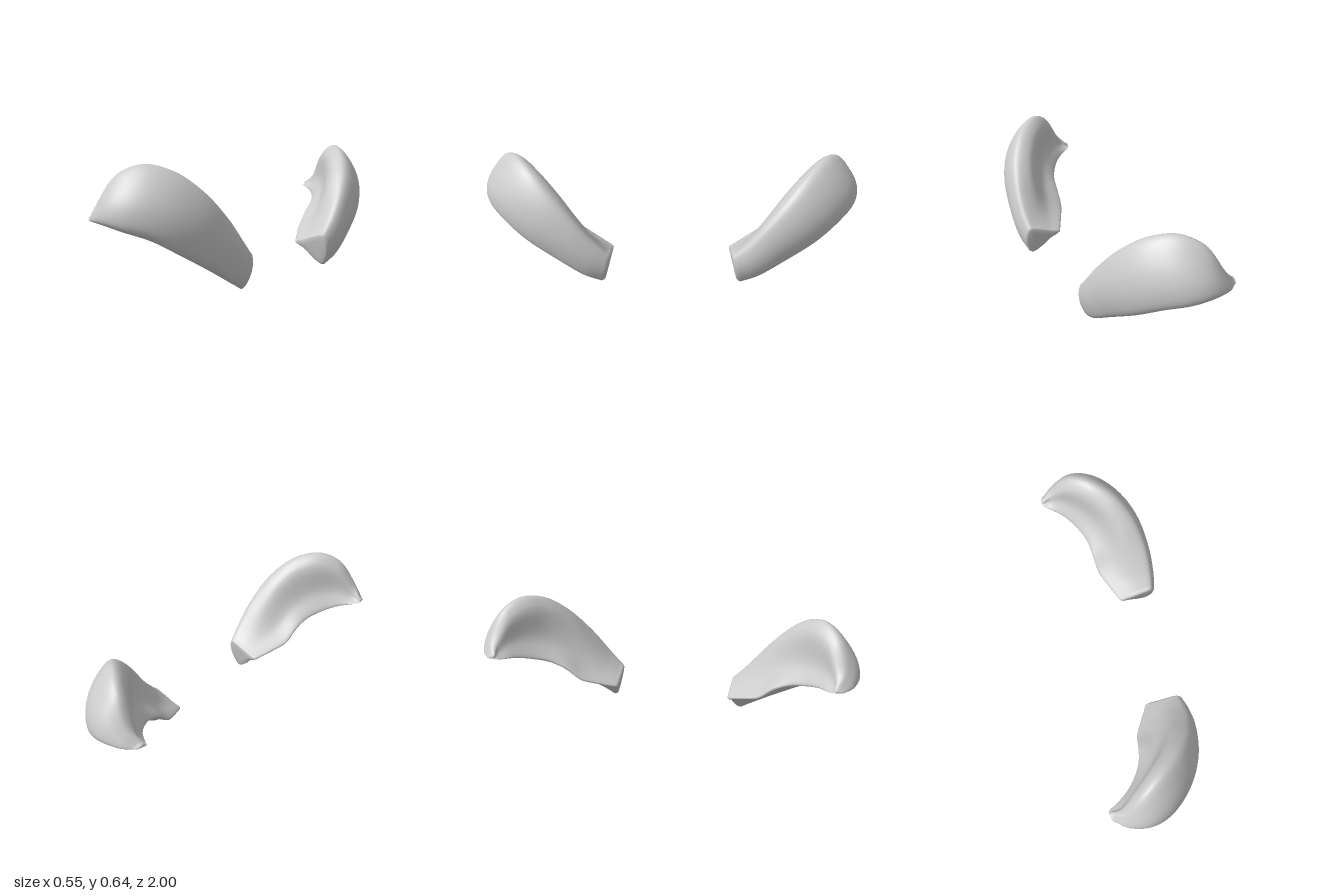
import * as THREE from 'three';

const V = (p) => new THREE.Vector3(...p);

// Guide edges running from the pointed tip to the blunt end
const outerEdge = [[-0.25, 0.372, 0.935], [-0.2, 0.375, 0.974], [-0.1, 0.375, 0.997], [0, 0.352, 0.97],
  [0.1, 0.308, 0.885], [0.17, 0.23, 0.765], [0.214, 0.132, 0.6], [0.23, 0.045, 0.46], [0.213, -0.002, 0.372]].map(V);
const crest = [[-0.257, 0.392, 0.902], [-0.2, 0.45, 0.925], [-0.11, 0.588, 0.885], [-0.01, 0.636, 0.815],
  [0.1, 0.602, 0.725], [0.187, 0.505, 0.62], [0.233, 0.37, 0.5], [0.242, 0.25, 0.4], [0.24, 0.18, 0.335]].map(V);
const innerEdge = [[-0.263, 0.37, 0.87], [-0.232, 0.36, 0.85], [-0.17, 0.345, 0.805], [-0.11, 0.32, 0.735],
  [-0.065, 0.29, 0.65], [-0.048, 0.25, 0.57], [-0.034, 0.185, 0.49], [0, 0.156, 0.42], [0.05, 0.122, 0.328]].map(V);

const STEPS = 64, SIDES = 54;

// Rounded wedge section: bulged outer wall, thick round crest, hollow inner face that flattens
// towards the blunt end (u = 1), rounded underside with a thin inner lip
function section(a, b, c, u) {
  const out = b.clone().sub(c).setY(0).normalize();
  const bulge = a.distanceTo(b) * 0.155;
  const wall = (t) => a.clone().lerp(b, t).addScaledVector(out, bulge);
  const inner = (t, sink) => b.clone().lerp(c, t).lerp(a, sink);
  const under = (t, sink) => c.clone().lerp(a, t).lerp(b, -sink);
  const flat = THREE.MathUtils.smoothstep(u, 0.6, 1);
  const loop = [a, wall(0.3), wall(0.7), b,
    inner(0.27, THREE.MathUtils.lerp(-0.16, -0.04, flat)), inner(0.67, THREE.MathUtils.lerp(0.04, -0.02, flat)),
    c, under(0.33, -0.02), under(0.68, 0.05)];
  const curve = new THREE.CatmullRomCurve3(loop, true, 'centripetal');
  return Array.from({ length: SIDES }, (_, j) => curve.getPoint(j / SIDES));
}

// Shrink a ring towards its middle to close an end, pushed out slightly
function shrink(ring, k, push) {
  const mid = ring.reduce((s, p) => s.add(p), new THREE.Vector3()).divideScalar(ring.length);
  return ring.map((p) => p.clone().lerp(mid, 1 - k).add(push));
}

function wedgeGeometry(side) {
  const curves = [outerEdge, crest, innerEdge].map((p) => new THREE.CatmullRomCurve3(p, false, 'centripetal'));
  const rings = [];
  for (let i = 0; i <= STEPS; i++) rings.push(section(...curves.map((c) => c.getPoint(i / STEPS)), i / STEPS));
  const first = rings[0], last = rings[STEPS];
  const tipPush = V([-0.012, 0, 0]), endPush = V([0, -0.003, -0.018]);
  rings.unshift(shrink(first, 0, tipPush), shrink(first, 0.5, tipPush), shrink(first, 0.85, V([-0.008, 0, 0])));
  rings.push(shrink(last, 0.95, endPush.clone().multiplyScalar(0.6)), shrink(last, 0.85, endPush),
    shrink(last, 0.45, endPush), shrink(last, 0, endPush));

  const pos = [], index = [];
  rings.forEach((ring) => ring.forEach((p) => pos.push(p.x, p.y, p.z * side)));
  for (let i = 0; i < rings.length - 1; i++) {
    for (let j = 0; j < SIDES; j++) {
      const k = (j + 1) % SIDES;
      const a = i * SIDES + j, b = a + SIDES, c = i * SIDES + k, d = c + SIDES;
      if (side > 0) index.push(a, b, c, b, d, c);
      else index.push(a, c, b, b, c, d);
    }
  }
  const g = new THREE.BufferGeometry();
  g.setAttribute('position', new THREE.Float32BufferAttribute(pos, 3));
  g.setIndex(index);
  g.computeVertexNormals();
  return g;
}

export function createModel() {
  const group = new THREE.Group();
  const material = new THREE.MeshStandardMaterial({ color: 0xcccccc });
  // Mirrored pair, front and back
  for (const [name, side] of [['frontCurvedWedge', 1], ['backCurvedWedge', -1]]) {
    const mesh = new THREE.Mesh(wedgeGeometry(side), material);
    mesh.name = name;
    group.add(mesh);
  }
  return group;
}
